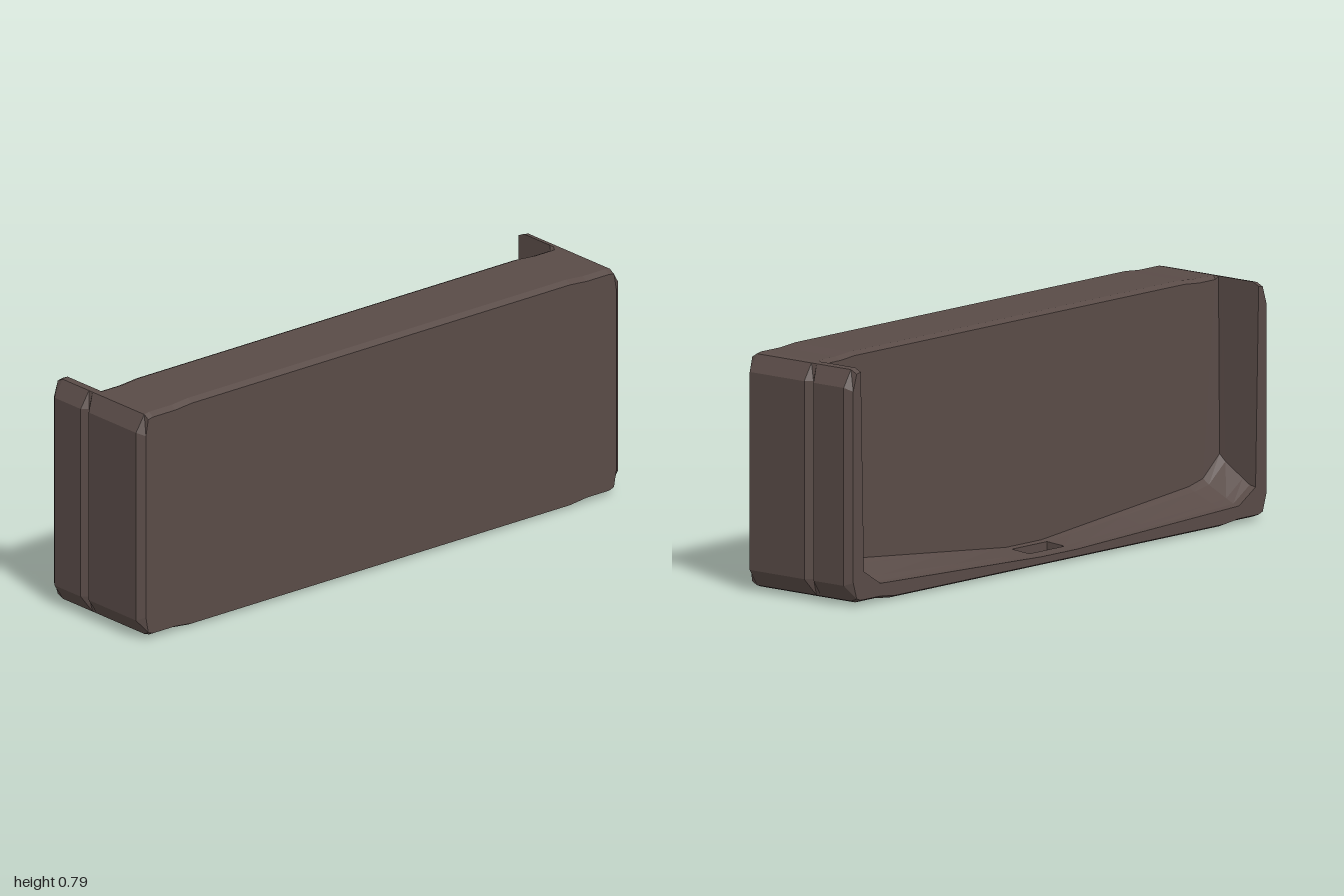
import * as THREE from 'three';

// Long trough turned about y: solid front block, end walls, and a sagging floor open at the back.
const half = [1.02, 0.985, 0.965, 0.95, 0.87, 0.8, 0.45, 0.2, 0.085];
const stations = [...half.map(u => -u), ...half.slice().reverse()];
const columns = [0.225, 0.205, -0.03, -0.052, -0.07, -0.095, -0.17, -0.2, -0.225];

const lerp = THREE.MathUtils.lerp;

// Floor height: fillet at the end walls, dipping to the drain slot in the middle
function floorHeight(a, j) {
  const inner = a >= 0.95 ? 0.2 : a >= 0.87 ? 0.13 : lerp(0.035, 0.12, a / 0.87);
  const rim = a >= 0.95 ? 0.11 : lerp(0.03, 0.06, a / 0.87);
  return lerp(inner, rim, [0, 0, 0, 0, 0, 0.25, 0.75, 0.95, 1][j]);
}

// Top and bottom points of the body at station i and column j
function points(i, j) {
  const a = Math.abs(stations[i]);
  const s = Math.sign(stations[i]);
  let u = a, top = 0.785, bottom = 0;
  if (a > 0.8) { top = 0.779; bottom = 0.008; }
  if (a >= 0.985) { top = 0.775; bottom = 0.015; }
  if (a > 1) {
    top = 0.72; bottom = 0.07;
    // bevelled corners and the groove on the end face
    if (j === 0) u -= 0.025;
    if (j === 3) u -= 0.02;
    if (j === 8) u -= 0.018;
  }
  if (j === 0 || j === 8) { top -= 0.012; bottom += 0.01; }
  if (j === 3 && a < 0.96) top -= 0.01;
  if (j >= 4 && a <= 0.95) top = floorHeight(a, j);
  return {
    top: new THREE.Vector3(s * u, top, columns[j]),
    bottom: new THREE.Vector3(s * u, bottom, columns[j]),
  };
}

function bodyGeometry() {
  const grid = stations.map((_, i) => columns.map((_, j) => points(i, j)));
  const pos = [];
  const quad = (a, b, c, d) => [a, b, c, a, c, d].forEach(p => pos.push(p.x, p.y, p.z));
  const wall = (p, q) => quad(p.bottom, q.bottom, q.top, p.top);
  const n = stations.length - 1, m = columns.length - 1;
  const hi = half.length - 1, hj = 5; // cell left open for the slot

  for (let i = 0; i < n; i++) {
    for (let j = 0; j < m; j++) {
      if (i === hi && j === hj) continue;
      const a = grid[i][j], b = grid[i + 1][j], c = grid[i + 1][j + 1], d = grid[i][j + 1];
      quad(a.top, b.top, c.top, d.top);
      quad(d.bottom, c.bottom, b.bottom, a.bottom);
    }
    // front and back faces
    wall(grid[i][0], grid[i + 1][0]);
    wall(grid[i + 1][m], grid[i][m]);
  }
  // end faces
  for (let j = 0; j < m; j++) {
    wall(grid[0][j + 1], grid[0][j]);
    wall(grid[n][j], grid[n][j + 1]);
  }
  // slot walls
  const rim = [grid[hi][hj], grid[hi][hj + 1], grid[hi + 1][hj + 1], grid[hi + 1][hj]];
  rim.forEach((p, k) => wall(p, rim[(k + 1) % 4]));

  const g = new THREE.BufferGeometry();
  g.setAttribute('position', new THREE.Float32BufferAttribute(pos, 3));
  g.computeVertexNormals();
  return g;
}

export function createModel() {
  const group = new THREE.Group();
  group.name = 'openTrough';
  const material = new THREE.MeshStandardMaterial({ color: 0x594b47, flatShading: true });
  const body = new THREE.Mesh(bodyGeometry(), material);
  body.name = 'troughBody';
  body.rotation.y = 0.488;
  group.add(body);
  return group;
}
